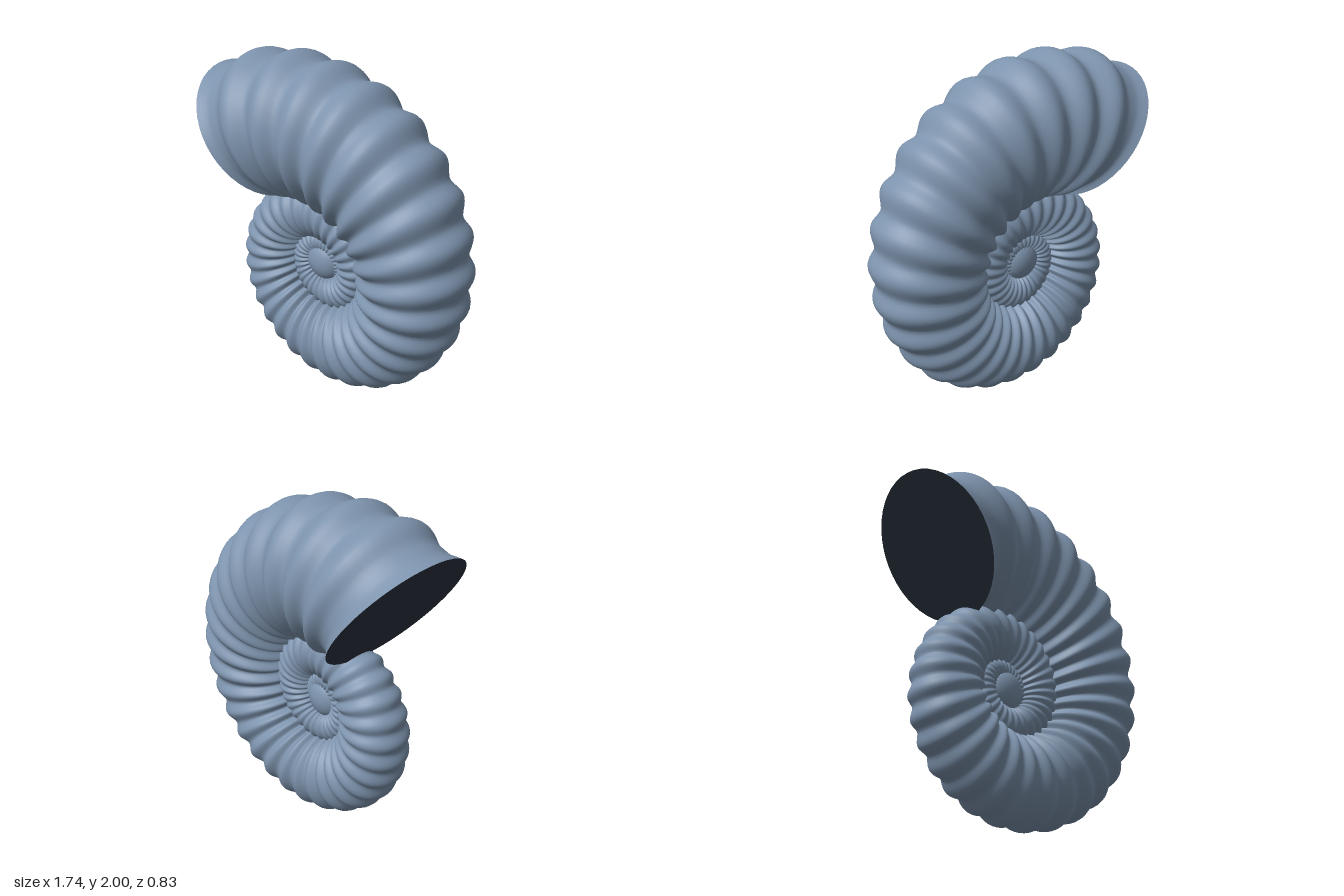
import * as THREE from 'three';

const DEG = Math.PI / 180;
const CENTRE = new THREE.Vector3(-0.1, 0.767, 0);
const GROWTH = 0.152;          // logarithmic spiral rate per radian
const END = 125.5 * DEG;       // angle of the mouth
const TURNS = 3;
const RIB = 12.6 * DEG;        // rib spacing
const LAST_RIB = 112.4 * DEG;  // crest of the rib nearest the mouth
const WIDTH = 0.95;            // side-to-side / radial size of the tube

// Size of the tube relative to its size at the mouth
const scaleAt = (a) => Math.exp(GROWTH * (a - END));

// Tube radius before spiral scaling: rounded ribs, then a plain neck and flared lip
function tubeRadius(a) {
  const past = a - LAST_RIB;
  const wave = past > RIB / 2 ? 0 : 0.5 + 0.5 * Math.cos((past / RIB) * 2 * Math.PI);
  const lip = THREE.MathUtils.clamp((a - END + 3 * DEG) / (3 * DEG), 0, 1);
  return 0.407 + 0.048 * Math.pow(wave, 0.8) + 0.03 * lip;
}

// Ribbed tube swept along the spiral
function shellGeometry() {
  const rows = 870, sides = 48;
  const positions = [], index = [];
  for (let i = 0; i <= rows; i++) {
    const a = END - TURNS * 2 * Math.PI * (1 - i / rows);
    const s = scaleAt(a), t = tubeRadius(a);
    for (let j = 0; j < sides; j++) {
      const p = (j / sides) * 2 * Math.PI;
      const r = s * (0.889 + t * Math.cos(p));
      positions.push(r * Math.cos(a), r * Math.sin(a), s * t * WIDTH * Math.sin(p));
      if (i === rows) continue;
      const k = i * sides + j, n = i * sides + ((j + 1) % sides);
      index.push(k, k + sides, n, n, k + sides, n + sides);
    }
  }
  const g = new THREE.BufferGeometry();
  g.setAttribute('position', new THREE.Float32BufferAttribute(positions, 3));
  g.setIndex(index);
  g.computeVertexNormals();
  return g;
}

export function createModel() {
  const group = new THREE.Group();
  group.name = 'spiralShell';
  const shellMat = new THREE.MeshStandardMaterial({ color: 0x7d93ad, side: THREE.DoubleSide });
  const darkMat = new THREE.MeshStandardMaterial({ color: 0x2a3440 });

  const add = (name, geometry, material) => {
    const mesh = new THREE.Mesh(geometry, material);
    mesh.name = name;
    mesh.position.copy(CENTRE);
    group.add(mesh);
    return mesh;
  };

  add('ribbedWhorls', shellGeometry(), shellMat);

  // Smooth flattened bead covering the start of the spiral on both sides
  add('centralBead', new THREE.SphereGeometry(0.12, 40, 24), shellMat).scale.z = 0.68;

  // Dark disc closing the mouth, in the plane through the spiral axis
  const radial = new THREE.Vector3(Math.cos(END), Math.sin(END), 0);
  const along = new THREE.Vector3(-Math.sin(END), Math.cos(END), 0);
  const mouth = add('mouthOpening', new THREE.CircleGeometry(1, 48), darkMat);
  mouth.quaternion.setFromRotationMatrix(
    new THREE.Matrix4().makeBasis(new THREE.Vector3(0, 0, 1), radial, along));
  mouth.scale.set(tubeRadius(END) * WIDTH, tubeRadius(END), 1);
  mouth.position.addScaledVector(radial, 0.889);

  return group;
}
